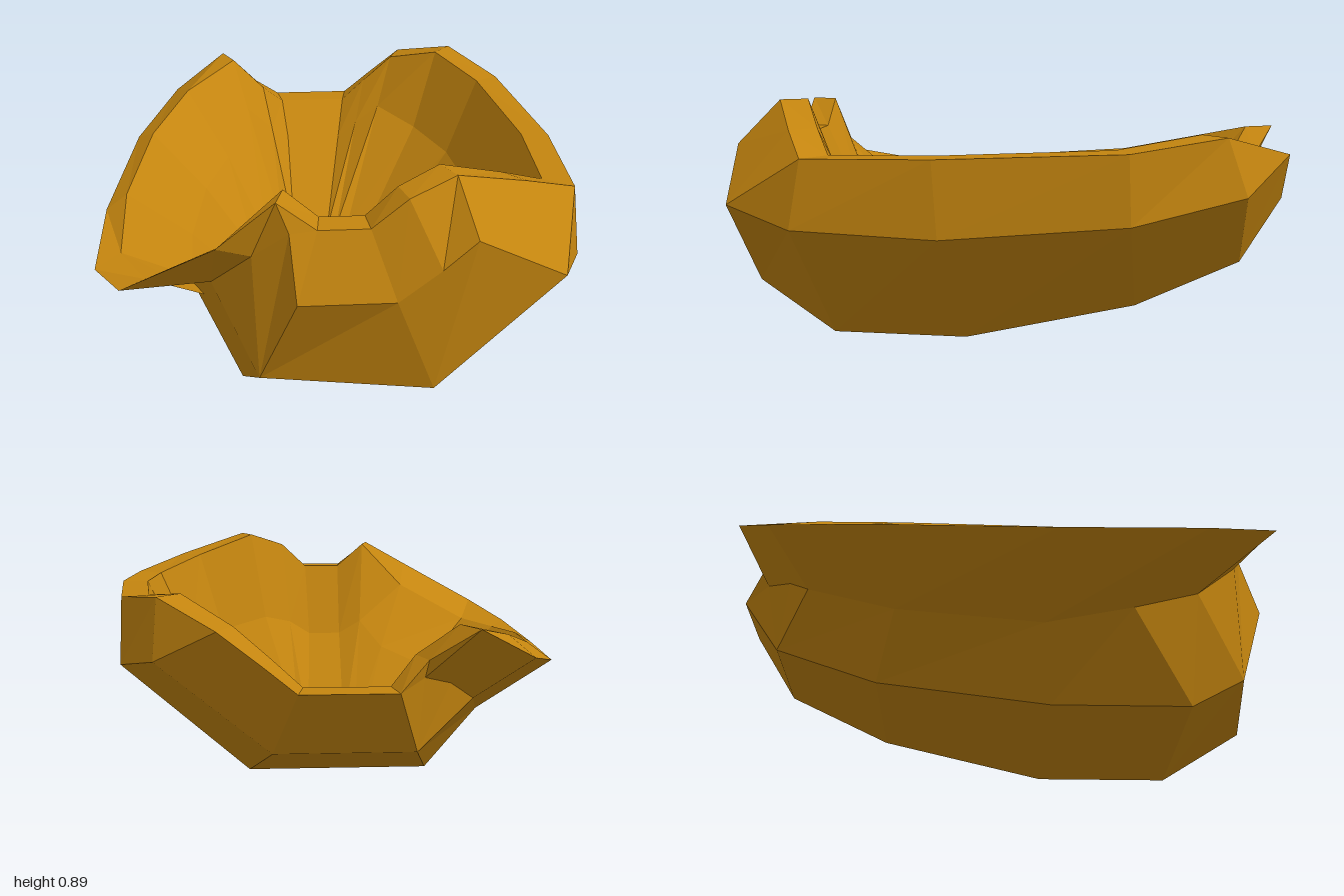
import * as THREE from 'three';

// Half outlines, front to back on the +x side
const girth = [
  [0.16, 0.52, 1], [0.3, 0.63, 1], [0.41, 0.73, 1], [0.72, 0.56, 0.93], [0.83, 0.5, 0.67], [0.845, 0.485, 0.16],
  [0.77, 0.53, -0.47], [0.62, 0.61, -0.85], [0.41, 0.73, -1], [0.27, 0.62, -1], [0.16, 0.53, -1],
];
const base = [[0.29, 0.18, 0.98], [0.35, 0, 0.67], [0.35, 0, 0.16], [0.32, 0.14, -0.47], [0.24, 0.3, -0.85]];
// Raised rim on the upright side; behind it the rim follows the girth
const upperRim = [
  [0.08, 0.74, 0.91], [0.2, 0.84, 0.91], [0.36, 0.89, 0.85], [0.62, 0.81, 0.73],
  [0.81, 0.74, 0.63], [0.83, 0.75, 0.18], [0.76, 0.77, -0.46], [0.61, 0.81, -0.78],
];
// Front peak and back notch, where the flared side folds away
const foldRim = { 0: [-0.09, 0.74, 0.91], 1: [-0.22, 0.84, 0.91], 9: [-0.26, 0.62, -0.92] };
// Crease under the flared side, from the front peak to the back notch
const crease = [
  [-0.18, 0.74, 0.93], [-0.3, 0.64, 0.88], [-0.44, 0.455, 0.7], [-0.53, 0.35, 0.45], [-0.52, 0.29, 0.13],
  [-0.51, 0.34, -0.4], [-0.44, 0.45, -0.72], [-0.35, 0.52, -0.8], [-0.25, 0.56, -0.9],
];

const mirror = ([x, y, z]) => [-x, y, z];
const mix = (a, b, t) => a.map((v, k) => v + (b[k] - v) * t[k]);

function basePoint(k, flaredSide) {
  const [x, y, z] = base[k];
  return flaredSide ? [-x * 0.98, Math.max(y, 0.05), Math.min(z, 0.88)] : [x, y, z];
}

// One column over the wall: base, outer knuckle, rim, inner rim, inner knuckle, floor
function column(i, flaredSide) {
  const foot = basePoint(THREE.MathUtils.clamp(i - 3, 0, 4), flaredSide);
  const waist = flaredSide ? mirror(girth[i]) : girth[i];
  const rim = (flaredSide ? foldRim[i] : upperRim[i]) ?? waist;
  const knuckle = (flaredSide && crease[i - 1]) || waist;
  const wide = flaredSide && i > 1 && i < 8;
  const lip = wide
    ? [rim[0] * 0.91, rim[1] + 0.05 - 0.13 * Math.max(rim[2], 0) ** 2, rim[2] * 0.8]
    : [rim[0] * 0.88, rim[1], rim[2] * 0.89];
  const floor = [waist[0] * 0.335 - 0.025, 0.115 - 0.03 * waist[2], waist[2] * 0.34 + 0.03];
  const inner = mix(lip, floor, wide ? [0.52, 0.45, 0.5] : [0.3, i > 7 ? 0.3 : 0.45, 0.3]);
  return [foot, knuckle, rim, lip, inner, floor];
}

// Collects triangles, dropping collapsed ones
function collector() {
  const pos = [];
  const vec = (p) => new THREE.Vector3(...p);
  const tri = (a, b, c) => {
    const area = vec(b).sub(vec(a)).cross(vec(c).sub(vec(a))).length();
    if (area > 1e-6) pos.push(...a, ...b, ...c);
  };
  const quad = (a, b, c, d) => {
    tri(a, b, c);
    tri(a, c, d);
  };
  return { pos, tri, quad };
}

// Unshared corners give flat facets
function toMesh(pos, name, material) {
  const geometry = new THREE.BufferGeometry();
  geometry.setAttribute('position', new THREE.Float32BufferAttribute(pos, 3));
  geometry.computeVertexNormals();
  const mesh = new THREE.Mesh(geometry, material);
  mesh.name = name;
  return mesh;
}

export function createModel() {
  const group = new THREE.Group();
  group.name = 'bentShell';
  const amber = new THREE.MeshStandardMaterial({ color: 0xc4850f });
  amber.name = 'amber';

  // Round the shell: upright side front to back, then flared side back to front
  const columns = [
    ...girth.map((_, i) => column(i, false)),
    ...girth.map((_, i) => column(i, true)).reverse(),
  ];
  const next = (j) => columns[(j + 1) % columns.length];

  // Outer wall, rim and inner wall, one band at a time
  const bands = ['lowerOuterWall', 'upperOuterWall', 'rim', 'upperInnerWall', 'lowerInnerWall'];
  bands.forEach((name, r) => {
    const { pos, quad } = collector();
    columns.forEach((a, j) => quad(a[r], next(j)[r], next(j)[r + 1], a[r + 1]));
    group.add(toMesh(pos, name, amber));
  });

  // Curved underside in strips from front to back
  const under = collector();
  for (let k = 0; k < base.length - 1; k++) {
    under.quad(basePoint(k, true), basePoint(k + 1, true), basePoint(k + 1, false), basePoint(k, false));
  }
  group.add(toMesh(under.pos, 'underside', amber));

  // Floor inside, tilted slightly to the front
  const floor = collector();
  columns.forEach((a, j) => floor.tri(a[5], next(j)[5], [-0.025, 0.115, 0.03]));
  group.add(toMesh(floor.pos, 'floor', amber));

  return group;
}
